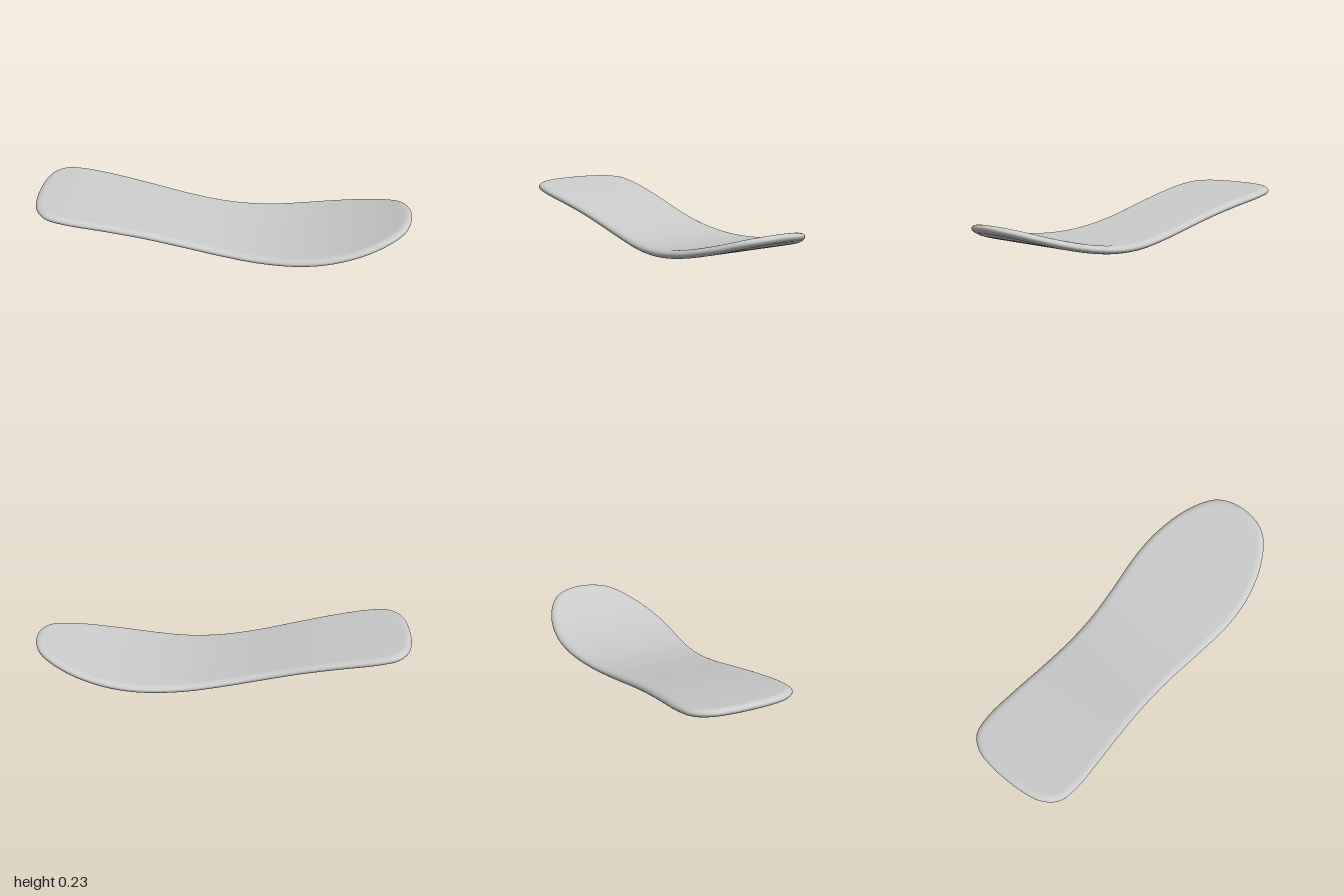
import * as THREE from 'three';

// Half outline seen from above [x, z], from one tip to the other
const OUTLINE = [
  [-1, 0], [-0.993, 0.12], [-0.97, 0.21], [-0.91, 0.28], [-0.8, 0.302], [-0.6, 0.294],
  [-0.4, 0.28], [-0.2, 0.273], [0, 0.28], [0.2, 0.302], [0.4, 0.326], [0.52, 0.33],
  [0.64, 0.318], [0.78, 0.28], [0.9, 0.215], [0.96, 0.155], [0.99, 0.08], [1, 0],
];
// Height of the bent middle layer at even steps of x from -1 to 1
const BEND = [0.215, 0.189, 0.158, 0.12, 0.077, 0.041, 0.022, 0.028, 0.056, 0.105, 0.172];
const HALF_THICKNESS = 0.021;
const RIM = 0.036; // width of the rounded edge
const N = 240;     // points round the outline
const ARC = 12;    // steps over the rounded edge

// Smooth cubic through the bend heights
function bend(x) {
  const last = BEND.length - 1;
  const t = THREE.MathUtils.clamp((x + 1) / 2, 0, 1) * last;
  const i = Math.min(Math.floor(t), last - 1);
  const at = (k) => {
    if (k < 0) return 2 * BEND[0] - BEND[1];
    if (k > last) return 2 * BEND[last] - BEND[last - 1];
    return BEND[k];
  };
  const f = t - i;
  const m0 = (at(i + 1) - at(i - 1)) / 2;
  const m1 = (at(i + 2) - at(i)) / 2;
  const a = at(i), b = at(i + 1);
  return a + f * (m0 + f * (3 * (b - a) - 2 * m0 - m1 + f * (2 * (a - b) + m0 + m1)));
}

function boardGeometry() {
  // Mirrored closed outline
  const back = OUTLINE.slice(1, -1).reverse().map(([x, z]) => [x, -z]);
  const curve = new THREE.CatmullRomCurve3(
    [...OUTLINE, ...back].map(([x, z]) => new THREE.Vector3(x, 0, z)), true, 'centripetal');
  curve.arcLengthDivisions = 2000;
  const rim = [];
  for (let i = 0; i <= N / 2; i++) {
    const p = curve.getPointAt(i / N);
    const t = curve.getTangentAt(i / N);
    if (i === 0 || i === N / 2) { p.z = 0; t.set(0, 0, i ? -1 : 1); }
    rim.push({ x: p.x, z: p.z, nx: -t.z, nz: t.x });
  }
  for (let i = N / 2 - 1; i > 0; i--) {
    const p = rim[i];
    rim.push({ x: p.x, z: -p.z, nx: p.nx, nz: -p.nz });
  }

  // Rings from the underside round the edge to the top, following the bend
  const positions = [], index = [];
  for (let j = 0; j <= ARC; j++) {
    const a = (j / ARC - 0.5) * Math.PI;
    const inset = RIM * (1 - Math.cos(a));
    const h = HALF_THICKNESS * Math.sin(a);
    for (const p of rim) {
      const x = p.x - p.nx * inset;
      const slope = (bend(x + 0.01) - bend(x - 0.01)) / 0.02;
      const len = Math.hypot(1, slope);
      positions.push(x - h * slope / len, bend(x) + h / len, p.z - p.nz * inset);
    }
  }
  const quad = (a, b, c, d) => index.push(a, b, c, a, c, d);
  for (let j = 0; j < ARC; j++) {
    for (let i = 0; i < N; i++) {
      const k = (i + 1) % N;
      quad(j * N + i, j * N + k, (j + 1) * N + k, (j + 1) * N + i);
    }
  }
  // Top and underside closed by strips running across the board
  const top = ARC * N;
  for (let i = 0; i < N / 2; i++) {
    const c = N - i - 1, d = (N - i) % N;
    if (i === 0) {
      index.push(top, top + 1, top + c, 0, c, 1);
    } else if (i === N / 2 - 1) {
      index.push(top + i, top + i + 1, top + d, i, d, i + 1);
    } else {
      quad(top + i, top + i + 1, top + c, top + d);
      quad(d, c, i + 1, i);
    }
  }

  const g = new THREE.BufferGeometry();
  g.setAttribute('position', new THREE.Float32BufferAttribute(positions, 3));
  g.setIndex(index);
  g.computeVertexNormals();
  g.computeBoundingBox();
  g.translate(0, -g.boundingBox.min.y, 0);
  return g;
}

export function createModel() {
  const group = new THREE.Group();
  group.name = 'curvedBoard';
  const board = new THREE.Mesh(boardGeometry(), new THREE.MeshStandardMaterial({ color: 0xcccccc }));
  board.name = 'board';
  group.add(board);
  return group;
}
